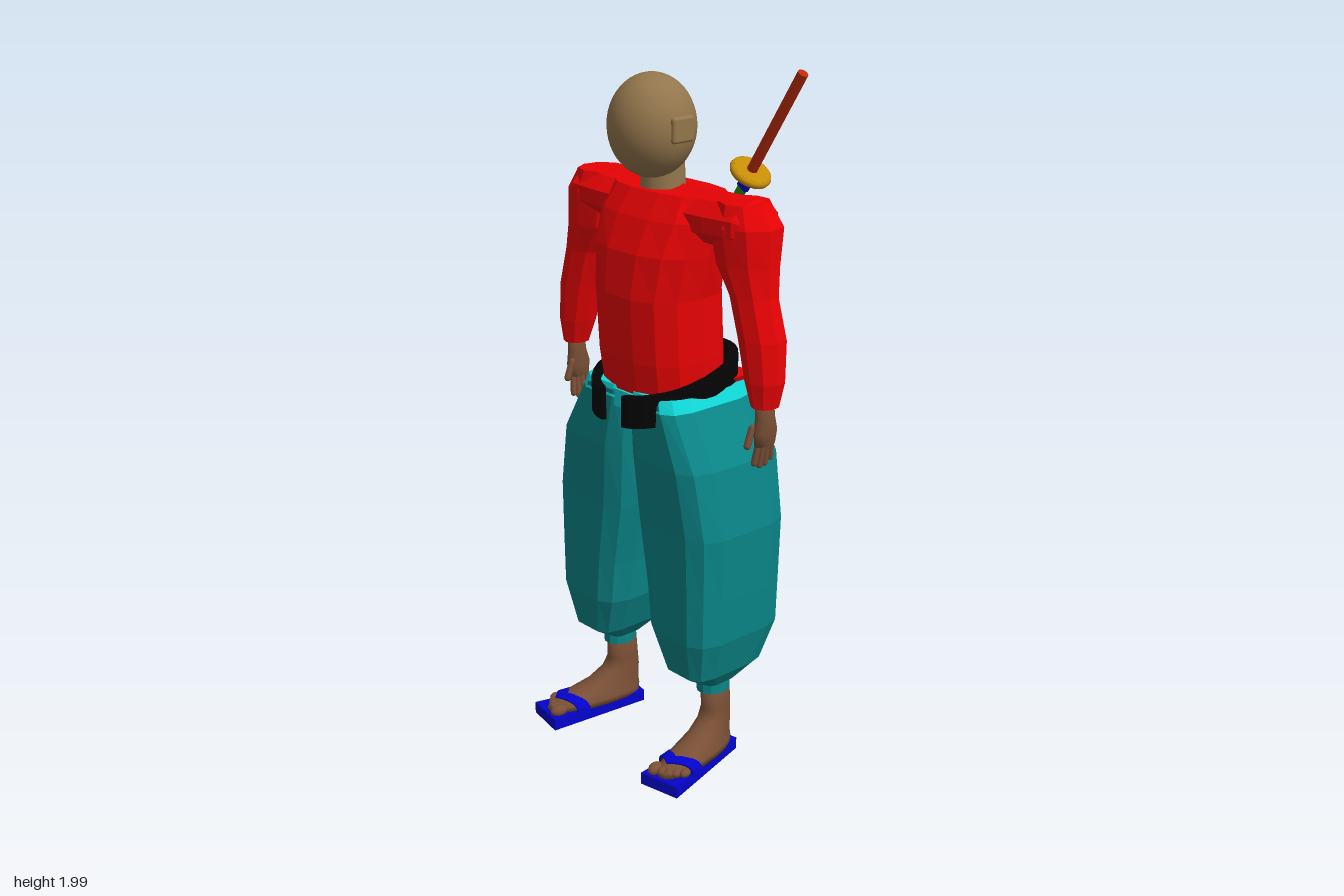
import * as THREE from 'three';
import { RoundedBoxGeometry } from 'three/addons/geometries/RoundedBoxGeometry.js';

const V = (x, y, z) => new THREE.Vector3(x, y, z);
const ZC = -0.01; // body's plane of symmetry
const CORNERS = [[1, -1], [1, 1], [-1, 1], [-1, -1]];

// Closed skin over rings of points; each ring runs counter-clockwise about the travel direction
function skin(rings, flat = true) {
  const n = rings[0].length, pos = [], idx = [];
  rings.forEach(r => r.forEach(p => pos.push(p.x, p.y, p.z)));
  for (let i = 0; i < rings.length - 1; i++) {
    for (let j = 0; j < n; j++) {
      const a = i * n + j, b = i * n + (j + 1) % n;
      idx.push(a, b, a + n, b, b + n, a + n);
    }
  }
  const last = (rings.length - 1) * n;
  for (let j = 1; j < n - 1; j++) idx.push(0, j + 1, j, last, last + j, last + j + 1);
  let g = new THREE.BufferGeometry();
  g.setAttribute('position', new THREE.Float32BufferAttribute(pos, 3));
  g.setIndex(idx);
  if (flat) g = g.toNonIndexed();
  g.computeVertexNormals();
  return g;
}

// Level cross-sections from top to bottom: [y, centre x, centre z, radius x, radius z]
function loft(sections, sides, power = 1, flat = true) {
  const bend = v => Math.sign(v) * Math.abs(v) ** power;
  return skin(sections.map(([y, cx, cz, rx, rz]) => Array.from({ length: sides }, (_, j) => {
    const a = (j + 0.5) / sides * Math.PI * 2;
    return V(cx + rx * bend(Math.cos(a)), y, cz + rz * bend(Math.sin(a)));
  })), flat);
}

export function createModel() {
  const model = new THREE.Group();
  const paint = (name, color) => {
    const m = new THREE.MeshStandardMaterial({ color });
    m.name = name;
    return m;
  };
  const red = paint('red cloth', 0xe80204), teal = paint('teal cloth', 0x0a8587),
    cyan = paint('bright cyan cloth', 0x10d8d8), tan = paint('tan skin', 0x93764c),
    brown = paint('brown skin', 0x7a5036), black = paint('black belt', 0x040404),
    blue = paint('blue', 0x0404cc), green = paint('green blade', 0x268f08),
    gold = paint('gold guard', 0xc48c06), rust = paint('rust hilt', 0xbc2c08);
  const add = (name, geo, mat, parent = model) => {
    const m = new THREE.Mesh(geo, mat);
    m.name = name;
    parent.add(m);
    return m;
  };

  // Head, neck and ears
  const head = add('head', new THREE.SphereGeometry(1, 32, 24), tan);
  head.scale.set(0.12, 0.14, 0.122);
  head.position.set(-0.005, 1.822, -0.025);
  add('neck', new THREE.CylinderGeometry(0.058, 0.064, 0.12, 20), tan).position.set(0.035, 1.685, -0.025);
  for (const s of [1, -1])
    add('ear', new RoundedBoxGeometry(0.075, 0.07, 0.022, 2, 0.009), tan).position.set(-0.002, 1.825, -0.025 + s * 0.115);

  // Jacket body
  add('jacket', loft([
    [1.655, 0.05, ZC, 0.095, 0.19], [1.59, 0.035, ZC, 0.125, 0.21],
    [1.5, 0.013, ZC, 0.143, 0.195], [1.38, 0.006, ZC, 0.152, 0.174],
    [1.2, 0.017, ZC, 0.152, 0.172], [1.08, 0.03, ZC, 0.147, 0.165],
  ], 14, 0.8), red);

  // Shoulder yoke running from sleeve to sleeve: [z, centre x, centre y, radius x, radius y]
  add('shoulderYoke', skin([
    [-0.375, 0.045, 1.59, 0.045, 0.045], [-0.33, 0.052, 1.6, 0.09, 0.068], [-0.22, 0.053, 1.598, 0.1, 0.07],
    [-0.06, 0.053, 1.595, 0.1, 0.07], [0.06, 0.053, 1.595, 0.1, 0.07], [0.21, 0.053, 1.598, 0.1, 0.07],
    [0.31, 0.052, 1.6, 0.09, 0.068], [0.355, 0.045, 1.59, 0.045, 0.045],
  ].map(([z, cx, cy, rx, ry]) => Array.from({ length: 10 }, (_, j) => {
    const a = (j + 0.5) / 10 * Math.PI * 2;
    return V(cx + rx * Math.cos(a), cy + ry * Math.sin(a), z);
  }))), red);

  // Pointed tail of the jacket showing between the trouser legs at the back
  const tail = new THREE.Shape([new THREE.Vector2(-0.165, 1.13), new THREE.Vector2(-0.145, 1.09),
    new THREE.Vector2(0, 0.955), new THREE.Vector2(0.085, 1.04), new THREE.Vector2(0.1, 1.13)]);
  const tailGeo = new THREE.ExtrudeGeometry(tail, { depth: 0.12, bevelEnabled: false });
  tailGeo.rotateY(Math.PI / 2);
  add('jacketTail', tailGeo, red).position.set(0.092, 0, 0);

  // Bright lining where the sash parts at the front
  add('trouserFront', new THREE.BoxGeometry(0.02, 0.05, 0.1), cyan).position.set(-0.115, 1.08, ZC);

  // Sash, open at the front, dipping and tapering towards it
  const path = new THREE.CatmullRomCurve3([
    V(-0.172, 0, -0.035), V(-0.145, 0, -0.1), V(-0.07, 0, -0.165), V(0.04, 0, -0.185), V(0.14, 0, -0.16),
    V(0.198, 0, -0.09), V(0.208, 0, 0), V(0.198, 0, 0.08), V(0.14, 0, 0.145), V(0.04, 0, 0.17),
    V(-0.07, 0, 0.155), V(-0.145, 0, 0.095), V(-0.172, 0, 0.04)]);
  add('belt', skin(Array.from({ length: 37 }, (_, i) => {
    const p = path.getPoint(i / 36), t = path.getTangent(i / 36), out = V(t.z, 0, -t.x);
    const thick = i === 0 || i === 36 ? 0.006 : 0.013;
    p.y = 1.15 + (p.x - 0.2) * 0.21;
    return CORNERS.map(([n, u]) => p.clone().addScaledVector(out, n * thick).add(V(0, u * 0.044, 0)));
  })), black);

  for (const s of [1, -1]) {
    const side = s > 0 ? 'right' : 'left';
    const z = v => ZC + s * v;

    // Puffed sleeve, pinched at the elbow and again at the wrist
    add(side + 'Sleeve', loft([
      [1.66, 0.05, z(0.285), 0.07, 0.07], [1.6, 0.053, z(0.292), 0.092, 0.103],
      [1.5, 0.045, z(0.305), 0.076, 0.093], [1.42, 0.038, z(0.338), 0.062, 0.068],
      [1.31, 0.04, z(0.37), 0.064, 0.066], [1.2, 0.035, z(0.387), 0.054, 0.055],
      [1.13, 0.032, z(0.393), 0.04, 0.036],
    ], 9), red);

    // Hand: palm, four fingers and a thumb
    const hand = new THREE.Group();
    hand.name = side + 'Hand';
    model.add(hand);
    add('palm', loft([[1.16, 0.03, z(0.392), 0.026, 0.022], [1.1, 0.033, z(0.393), 0.03, 0.023],
      [1.06, 0.036, z(0.392), 0.04, 0.022], [1.02, 0.036, z(0.391), 0.036, 0.016]], 12, 1, false), brown, hand);
    for (let i = 0; i < 4; i++) {
      const f = add('finger', new THREE.CapsuleGeometry(0.009, 0.055, 4, 8), brown, hand);
      f.position.set(0.01 + i * 0.018, [0.998, 0.988, 0.99, 1.002][i], z(0.385));
      f.rotation.set(s * 0.15, 0, (i - 1.5) * 0.06);
    }
    const thumb = add('thumb', new THREE.CapsuleGeometry(0.01, 0.05, 4, 8), brown, hand);
    thumb.position.set(-0.008, 1.048, z(0.378));
    thumb.rotation.z = -0.35;

    // Baggy trouser leg, its bright top edge and ankle cuff
    add(side + 'TrouserLeg', loft([
      [1.1, 0.035, z(0.093), 0.165, 0.1], [0.93, 0.047, z(0.147), 0.184, 0.146],
      [0.74, 0.047, z(0.173), 0.174, 0.156], [0.55, 0.045, z(0.188), 0.17, 0.136],
      [0.42, 0.044, z(0.194), 0.168, 0.126], [0.3, 0.036, z(0.202), 0.135, 0.085],
      [0.25, 0.035, z(0.205), 0.056, 0.046],
    ], 12, 0.47), teal);
    add(side + 'TrouserRim', loft([[1.115, 0.035, z(0.093), 0.16, 0.096],
      [1.08, 0.0365, z(0.099), 0.1685, 0.107]], 12, 0.47), cyan);
    add(side + 'Cuff', loft([[0.255, 0.033, z(0.207), 0.052, 0.044], [0.218, 0.033, z(0.207), 0.052, 0.044]], 12), teal);

    // Foot and sandal, toes turned outwards
    const foot = new THREE.Group();
    foot.name = side + 'Foot';
    foot.position.set(0.03, 0, z(0.21));
    foot.rotation.y = s * 0.19;
    model.add(foot);
    add('ankleAndFoot', loft([
      [0.24, 0.01, 0, 0.045, 0.038], [0.16, 0.014, 0, 0.048, 0.037], [0.125, 0.006, 0, 0.06, 0.038],
      [0.092, -0.022, 0, 0.088, 0.043], [0.066, -0.068, 0, 0.134, 0.05], [0.05, -0.086, 0, 0.154, 0.056],
      [0.033, -0.09, 0, 0.157, 0.056],
    ], 20, 0.9, false), brown, foot);
    for (let i = 0; i < 5; i++) {
      const toe = add('toe', new THREE.SphereGeometry(i ? 0.014 : 0.02, 10, 8), brown, foot);
      toe.position.set(-0.228 + i * i * 0.002, 0.046, s * (-0.034 + i * 0.019 + (i ? 0.005 : 0)));
      toe.scale.set(1.4, 0.9, 0.95);
    }
    const sole = new THREE.Shape([new THREE.Vector2(-0.258, -0.064), new THREE.Vector2(0.066, -0.04),
      new THREE.Vector2(0.066, 0.04), new THREE.Vector2(-0.258, 0.064)]);
    const soleGeo = new THREE.ExtrudeGeometry(sole, { depth: 0.035, bevelEnabled: false });
    soleGeo.rotateX(-Math.PI / 2);
    add('sandalSole', soleGeo, blue, foot);

    // Strap: a band arched over the foot, bent into a V that points at the toes
    add('sandalStrap', skin(Array.from({ length: 15 }, (_, i) => {
      const a = i / 14 * Math.PI, c = Math.cos(a), h = Math.sin(a) ** 0.7;
      return CORNERS.map(([n, w]) => {
        const r = 0.058 + n * 0.004;
        return V(-0.2 + Math.abs(c) * 0.045 + w * 0.021, 0.03 + r * 0.74 * h, r * c);
      });
    })), blue, foot);
  }

  // Sword across the back; the group's y axis runs up the hilt
  const sword = new THREE.Group();
  sword.name = 'sword';
  sword.position.set(0.155, 1.705, 0.188);
  sword.rotation.x = Math.atan2(0.18, 0.28);
  model.add(sword);
  add('hilt', new THREE.CylinderGeometry(0.0145, 0.0145, 0.335, 14), rust, sword).position.y = 0.167;
  add('guard', new THREE.CylinderGeometry(0.05, 0.05, 0.021, 24), gold, sword);
  add('guardRim', new THREE.TorusGeometry(0.049, 0.0105, 8, 28).rotateX(Math.PI / 2), gold, sword);
  add('collar', new THREE.BoxGeometry(0.014, 0.05, 0.034), blue, sword).position.y = -0.03;

  // Slightly curved blade
  const edge = new THREE.CatmullRomCurve3([V(0.155, 1.665, 0.162), V(0.155, 1.35, -0.048),
    V(0.155, 1.045, -0.25), V(0.155, 0.852, -0.408)]);
  add('blade', skin(Array.from({ length: 17 }, (_, i) => {
    const p = edge.getPoint(i / 16), t = edge.getTangent(i / 16), u = V(1, 0, 0), v = t.clone().cross(u);
    const w = i === 16 ? 0.002 : i === 15 ? 0.013 : 0.017;
    return [[0.004, 0], [0, w], [-0.004, 0], [0, -w]].map(([a, b]) =>
      p.clone().addScaledVector(u, a).addScaledVector(v, b));
  })), green);

  return model;
}
